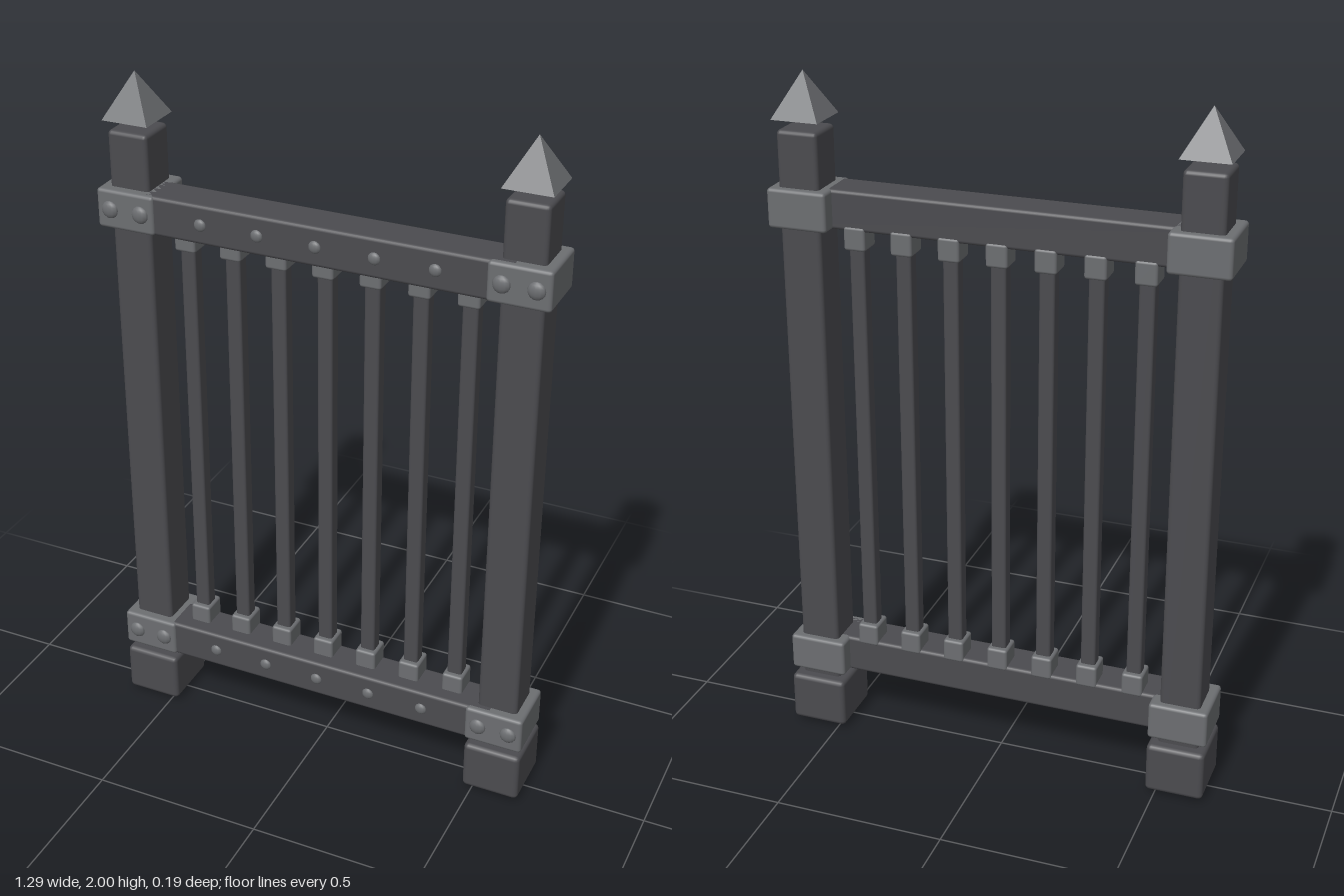
import * as THREE from 'three';
import { RoundedBoxGeometry } from 'three/addons/geometries/RoundedBoxGeometry.js';

const darkIron = new THREE.MeshStandardMaterial({ color: 0x4b4b4f });
darkIron.name = 'dark iron';
const paleIron = new THREE.MeshStandardMaterial({ color: 0x6c6e71 });
paleIron.name = 'pale iron';

const POST_X = 0.558;
const AXIS_Z = -0.005;
const RAIL_HEIGHTS = [0.24, 1.634];

function add(parent, name, geometry, material, x, y, z) {
  const mesh = new THREE.Mesh(geometry, material);
  mesh.name = name;
  mesh.position.set(x, y, z);
  parent.add(mesh);
  return mesh;
}

// Box with softened edges
const block = (w, h, d, bevel) => new RoundedBoxGeometry(w, h, d, 2, bevel);

// Flattened dome whose back sits inside the surface at z
function addRivet(parent, name, radius, height, x, y, z) {
  const rivet = add(parent, name, new THREE.SphereGeometry(radius, 12, 8), paleIron, x, y, z);
  rivet.scale.z = height / radius;
}

function createPost(side) {
  const post = new THREE.Group();
  post.name = side > 0 ? 'leftPost' : 'rightPost';
  post.position.x = side * POST_X;

  add(post, 'shaft', block(0.118, 1.847, 0.121, 0.012), darkIron, 0, 0.9235, AXIS_Z);
  add(post, 'foot', block(0.17, 0.152, 0.185, 0.014), darkIron, 0, 0.088, AXIS_Z);

  // Four-sided spike, floating just above the shaft
  const spike = new THREE.ConeGeometry(0.136 / Math.SQRT2, 0.125, 4, 1).toNonIndexed();
  spike.rotateY(Math.PI / 4);
  spike.computeVertexNormals();
  add(post, 'spike', spike, paleIron, 0, 1.9375, AXIS_Z);

  // Collars clasping the rails, two rivets each
  for (const y of RAIL_HEIGHTS) {
    add(post, 'collar', block(0.172, 0.112, 0.172, 0.01), paleIron, 0, y, -0.001);
    for (const x of [-0.046, 0.046]) addRivet(post, 'collarRivet', 0.025, 0.013, x, y, 0.084);
  }
  return post;
}

export function createModel() {
  const fence = new THREE.Group();
  fence.name = 'ironFencePanel';
  fence.add(createPost(-1), createPost(1));

  // Horizontal rails with a row of small rivets
  for (const y of RAIL_HEIGHTS) {
    add(fence, 'rail', block(1.1, 0.112, 0.118, 0.01), darkIron, 0, y, 0.019);
    for (let i = -2; i <= 2; i++) addRivet(fence, 'railRivet', 0.018, 0.01, i * 0.167, y, 0.077);
  }

  // Upright bars with a socket at each end
  for (let i = -3; i <= 3; i++) {
    const x = i * 0.1365;
    add(fence, 'bar', block(0.044, 1.34, 0.044, 0.007), darkIron, x, 0.937, AXIS_Z);
    for (const y of [0.317, 1.557]) {
      add(fence, 'barSocket', block(0.062, 0.068, 0.076, 0.008), paleIron, x, y, AXIS_Z);
    }
  }
  return fence;
}
